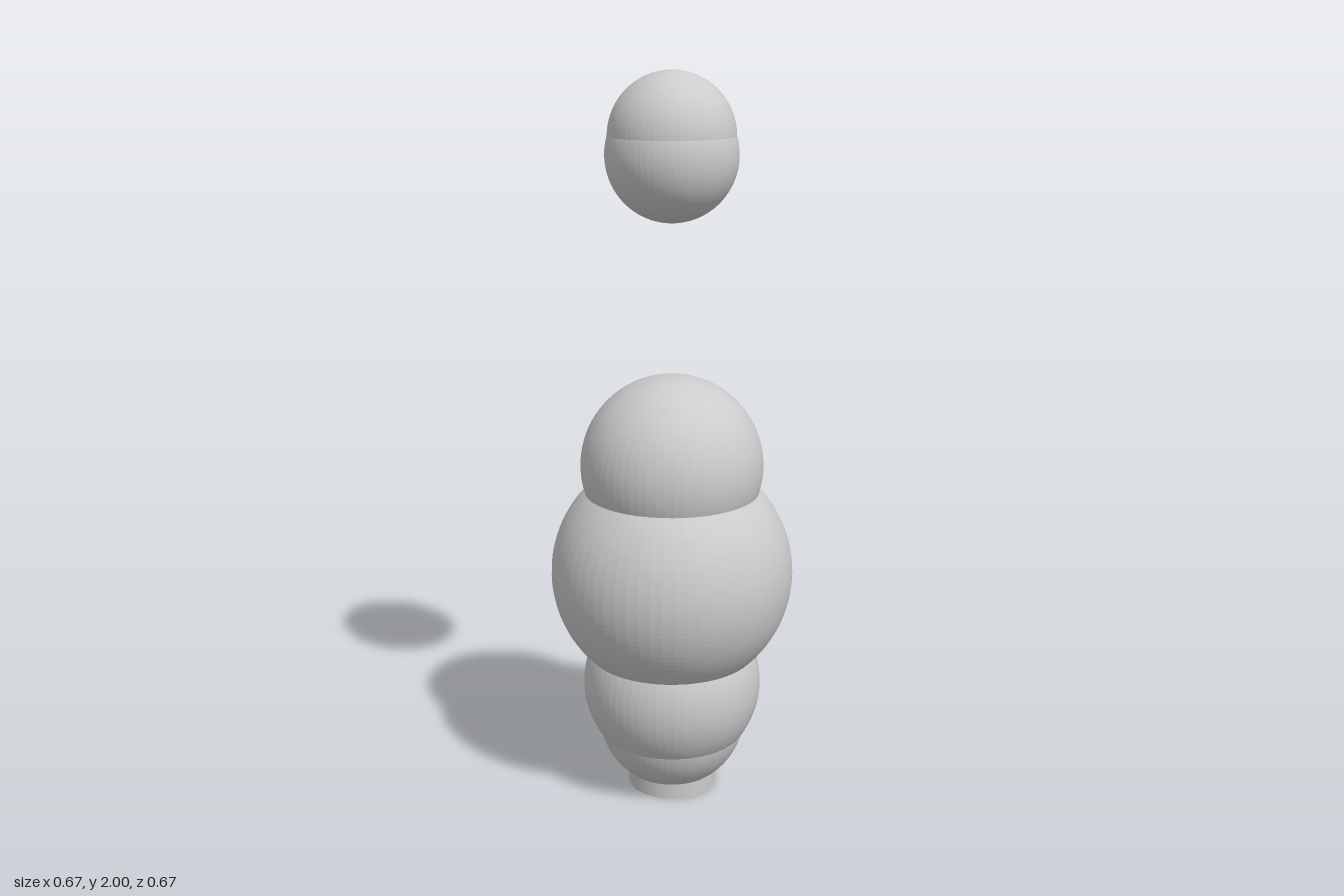
import * as THREE from 'three';

export function createModel() {
  const model = new THREE.Group();
  const material = new THREE.MeshStandardMaterial({ color: 0xcccccc, flatShading: true });

  const add = (name, geometry, y) => {
    const mesh = new THREE.Mesh(geometry, material);
    mesh.name = name;
    mesh.position.y = y;
    model.add(mesh);
  };

  // Short round foot
  add('base', new THREE.CylinderGeometry(0.125, 0.125, 0.045, 64), 0.0225);

  // Stacked overlapping balls, then the floating pair: name, radius, centre height
  const balls = [
    ['bottomBall', 0.208, 0.21],
    ['lowerBall', 0.25, 0.31],
    ['middleBall', 0.335, 0.643],
    ['upperBall', 0.25, 0.95],
    ['floatingLowerBall', 0.175, 1.786],
    ['floatingUpperBall', 0.168, 1.832],
  ];
  for (const [name, radius, y] of balls) {
    add(name, new THREE.SphereGeometry(radius, 64, 64), y);
  }

  return model;
}
